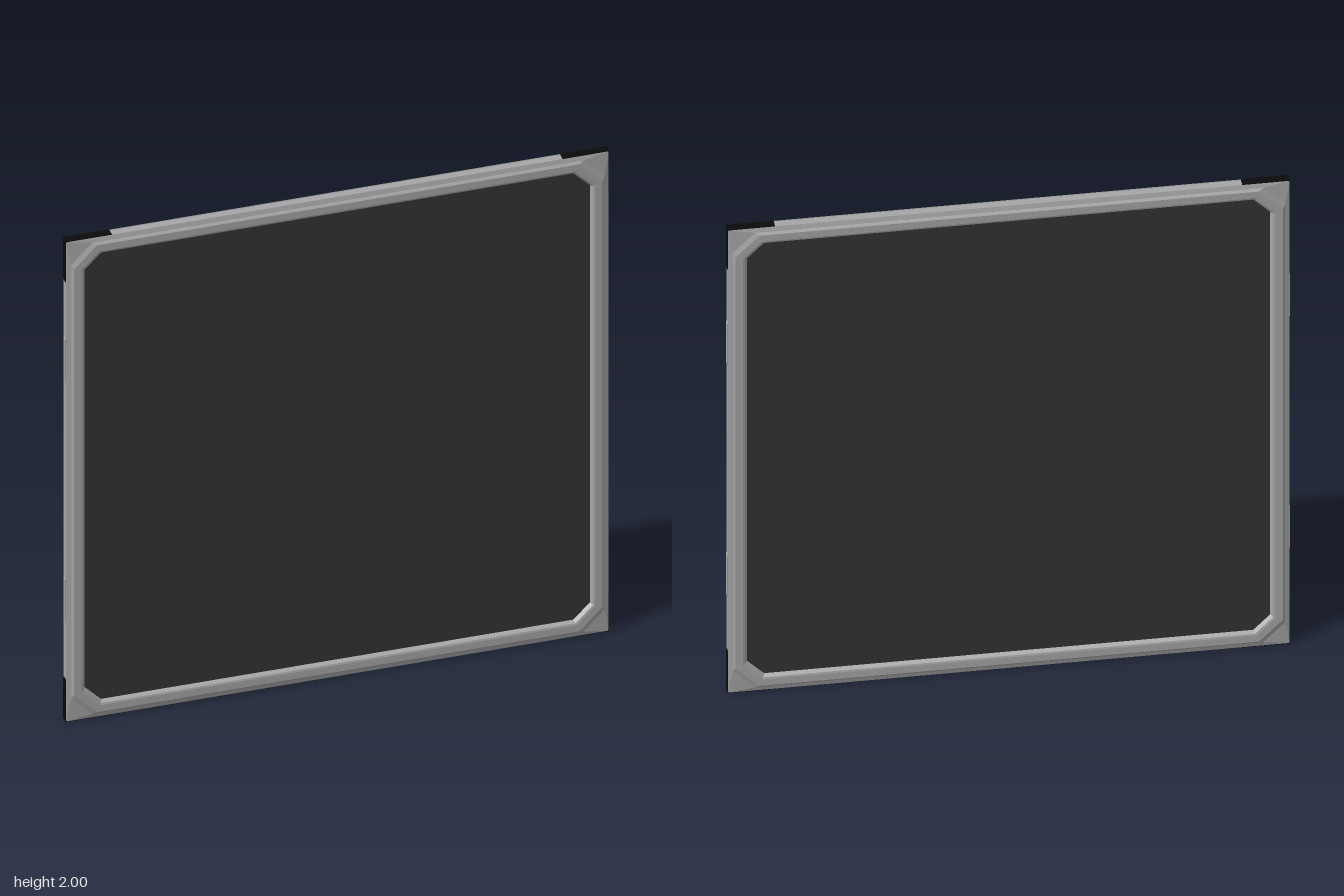
import * as THREE from 'three';

const material = (name, color) => {
  const m = new THREE.MeshStandardMaterial({ color });
  m.name = name;
  return m;
};

// Square loop with chamfered corners, counter-clockwise seen from +z
function chamferedSquare(half, chamfer) {
  const s = half - chamfer;
  return [[half, -s], [half, s], [s, half], [-s, half], [-half, s], [-half, -s], [-s, -half], [s, -half]];
}

// Skin a closed band through a list of [half size, chamfer, z] sections
function loftFrame(sections) {
  const loops = sections.map(([half, chamfer, z]) =>
    chamferedSquare(half, chamfer).map(([x, y]) => [x, y, z]));
  const positions = [];
  for (let k = 0; k < loops.length - 1; k++) {
    const a = loops[k], b = loops[k + 1];
    for (let i = 0; i < 8; i++) {
      const j = (i + 1) % 8;
      positions.push(...a[i], ...b[i], ...b[j], ...a[i], ...b[j], ...a[j]);
    }
  }
  const geometry = new THREE.BufferGeometry();
  geometry.setAttribute('position', new THREE.Float32BufferAttribute(positions, 3));
  geometry.computeVertexNormals();
  return geometry;
}

export function createModel() {
  const model = new THREE.Group();
  model.name = 'framedPanel';
  const grey = material('frame grey', 0xa6a6a6);
  const dark = material('panel charcoal', 0x333333);
  const black = material('edge black', 0x0a0a0a);

  const body = new THREE.Group();
  body.name = 'panelBody';
  body.position.y = 1;
  model.add(body);

  const add = (name, geometry, mat, parent = body) => {
    const mesh = new THREE.Mesh(geometry, mat);
    mesh.name = name;
    parent.add(mesh);
    return mesh;
  };

  // Frame: inner bevel, raised rim, lower corner plates, then the same on the back
  const front = [
    [0.928, 0.06, 0.012],
    [0.938, 0.065, 0.027],
    [0.945, 0.067, 0.029],
    [0.972, 0.085, 0.029],
    [0.981, 0.078, 0.022],
    [0.998, 0.004, 0.017],
    [0.995, 0.004, 0.016],
  ];
  const back = front.map(([h, c, z]) => [h, c, -z]).reverse();
  add('frame', loftFrame([...front, ...back]), grey);

  // Dark sheet set into the frame, seen from both sides
  const outline = new THREE.Shape(chamferedSquare(0.932, 0.06).map(([x, y]) => new THREE.Vector2(x, y)));
  const sheet = new THREE.ExtrudeGeometry(outline, { depth: 0.028, bevelEnabled: false });
  sheet.translate(0, 0, -0.014);
  add('centreSheet', sheet, dark);

  // Edge fittings, repeated on all four sides
  for (let side = 0; side < 4; side++) {
    const edge = new THREE.Group();
    edge.name = 'edgeFittings';
    edge.rotation.z = side * Math.PI / 2;
    body.add(edge);
    for (const end of [-1, 1]) {
      // Black strip reaching in from the corner
      add('cornerStrip', new THREE.BoxGeometry(0.01, 0.17, 0.033), black, edge)
        .position.set(0.995, end * 0.915, 0);
      // Shallow tab along the edge
      if (side % 2 === 0) {
        add('edgeTab', new THREE.BoxGeometry(0.01, 0.18, 0.02), grey, edge)
          .position.set(0.995, end * 0.5, 0);
      }
    }
  }
  return model;
}
